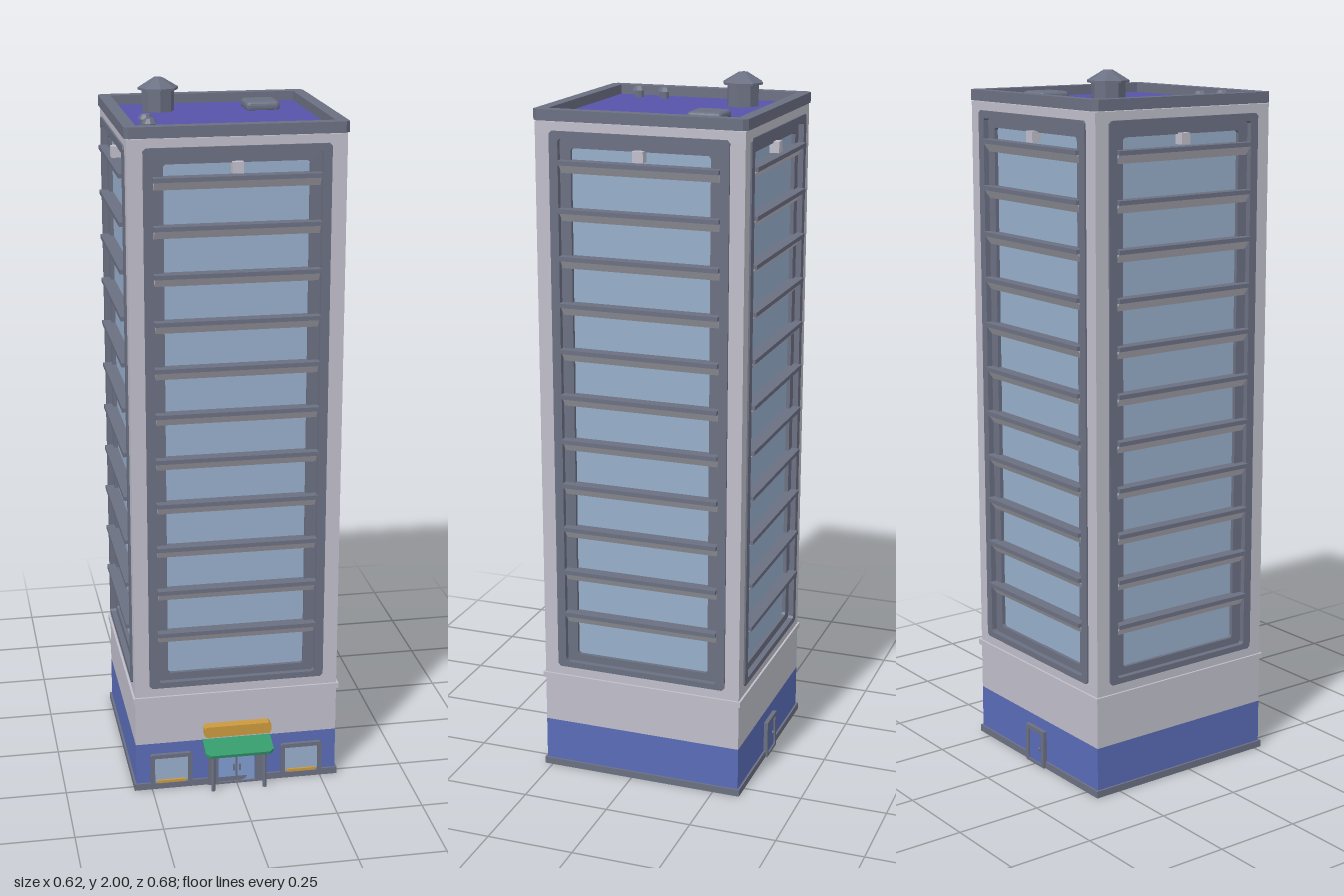
import * as THREE from 'three';
import { RoundedBoxGeometry } from 'three/addons/geometries/RoundedBoxGeometry.js';

const mat = (name, color) => new THREE.MeshStandardMaterial({ name, color, flatShading: true });

export function createModel() {
  const wall = mat('pale wall', 0xc0bfcb), trim = mat('grey trim', 0x6b7082);
  const blue = mat('blue base', 0x5a6cb8), roofMat = mat('violet roof', 0x5754aa);
  const glass = mat('window glass', 0x97aecb), green = mat('green awning', 0x35996b);
  const gold = mat('golden sign', 0xcb9a3e), doorMat = mat('door glass', 0x7f9bd0);

  const model = new THREE.Group();
  model.name = 'officeTower';
  const building = new THREE.Group();
  building.name = 'building';
  building.position.z = -0.028;
  model.add(building);

  const add = (parent, name, geo, m, x = 0, y = 0, z = 0) => {
    const mesh = new THREE.Mesh(geo, m);
    mesh.name = name;
    mesh.position.set(x, y, z);
    parent.add(mesh);
    return mesh;
  };
  // Box given by its centre x, z and its bottom and top heights
  const box = (parent, name, m, w, y0, y1, d, x = 0, z = 0) =>
    add(parent, name, new THREE.BoxGeometry(w, y1 - y0, d), m, x, (y0 + y1) / 2, z);
  // Rectangle with cut corners
  const outline = (hw, y0, y1, c, Type = THREE.Shape) => new Type([
    [-hw + c, y0], [hw - c, y0], [hw, y0 + c], [hw, y1 - c],
    [hw - c, y1], [-hw + c, y1], [-hw, y1 - c], [-hw, y0 + c],
  ].map(([x, y]) => new THREE.Vector2(x, y)));
  // Rectangular frame with an opening, from depth z0 to z1
  const frame = (parent, name, m, o, i, z0, z1, x = 0) => {
    const s = outline(...o);
    s.holes.push(outline(...i, THREE.Path));
    return add(parent, name, new THREE.ExtrudeGeometry(s, { depth: z1 - z0, bevelEnabled: false }), m, x, 0, z0);
  };

  // Main body
  box(building, 'plinth', trim, 0.604, 0, 0.02, 0.604);
  box(building, 'groundFloor', blue, 0.592, 0.02, 0.145, 0.592);
  box(building, 'lowerWall', wall, 0.592, 0.145, 0.33, 0.592);
  box(building, 'beltCourse', wall, 0.604, 0.28, 0.296, 0.604);
  box(building, 'core', trim, 0.54, 0.33, 1.87, 0.54);
  box(building, 'upperWall', wall, 0.592, 1.87, 1.902, 0.592);
  for (const x of [-1, 1]) for (const z of [-1, 1])
    box(building, 'cornerPost', wall, 0.046, 0.33, 1.87, 0.046, x * 0.273, z * 0.273);

  // Ledge cross-sections, x is depth and y is height below the ledge top
  const ledgeShape = new THREE.Shape([[0.268, -0.012], [0.31, -0.012], [0.31, 0], [0.268, 0]]
    .map((p) => new THREE.Vector2(...p)));
  const soffitShape = new THREE.Shape([[0.268, -0.036], [0.286, -0.036], [0.304, -0.012], [0.268, -0.012]]
    .map((p) => new THREE.Vector2(...p)));
  const bar = (shape, w) => new THREE.ExtrudeGeometry(shape, { depth: w, bevelEnabled: false })
    .translate(0, 0, -w / 2).rotateY(-Math.PI / 2);
  const ledgeGeo = bar(ledgeShape, 0.456), soffitGeo = bar(soffitShape, 0.45);

  // The same window wall on all four sides
  for (let i = 0; i < 4; i++) {
    const side = new THREE.Group();
    side.name = 'windowWall';
    side.rotation.y = i * Math.PI / 2;
    building.add(side);
    frame(side, 'outerFrame', trim, [0.254, 0.323, 1.878, 0.008], [0.229, 0.34, 1.857, 0.006], 0.265, 0.301);
    frame(side, 'innerFrame', trim, [0.232, 0.335, 1.86, 0.004], [0.198, 0.362, 1.832, 0.006], 0.265, 0.285);
    box(side, 'glazing', glass, 0.4, 0.355, 1.84, 0.006, 0, 0.271);
    for (let k = 0; k < 11; k++) {
      const y = 1.8 - k * 0.1303;
      add(side, 'ledge', ledgeGeo, trim, 0, y);
      add(side, 'ledgeSoffit', soffitGeo, wall, 0, y);
    }
    box(side, 'lamp', wall, 0.03, 1.805, 1.836, 0.03, 0, 0.287);
  }

  // Roof with its raised rim
  box(building, 'roofDeck', roofMat, 0.545, 1.9, 1.907, 0.545);
  frame(building, 'cornice', trim, [0.302, -0.302, 0.302, 0.012], [0.268, -0.268, 0.268, 0], 0, 0.03)
    .rotation.x = -Math.PI / 2;
  building.getObjectByName('cornice').position.set(0, 1.904, 0);

  // Rooftop equipment
  add(model, 'ventDrum', new THREE.CylinderGeometry(0.046, 0.046, 0.066, 8), trim, -0.148, 1.938, -0.173);
  add(model, 'ventCapRim', new THREE.CylinderGeometry(0.058, 0.058, 0.006, 8), trim, -0.148, 1.97, -0.173);
  add(model, 'ventCap', new THREE.CylinderGeometry(0.013, 0.058, 0.027, 8), trim, -0.148, 1.9865, -0.173);
  add(model, 'roofHatch', new RoundedBoxGeometry(0.098, 0.03, 0.098, 2, 0.012), trim, 0.146, 1.916, -0.173);
  for (const z of [0.087, 0.165]) {
    add(model, 'pipe', new THREE.CylinderGeometry(0.014, 0.014, 0.024, 8), trim, -0.22, 1.917, z);
    add(model, 'pipeCap', new THREE.CylinderGeometry(0.013, 0.021, 0.012, 8), trim, -0.22, 1.933, z);
  }

  // Shop windows
  for (const x of [-0.193, 0.193]) {
    frame(building, 'shopWindowFrame', trim, [0.061, 0.008, 0.112, 0.004], [0.049, 0.02, 0.1, 0], 0.29, 0.307, x);
    box(building, 'shopWindow', glass, 0.1, 0.018, 0.102, 0.006, x, 0.296);
    box(building, 'shopDisplay', gold, 0.084, 0.015, 0.028, 0.008, x, 0.301);
  }

  // Front entrance
  frame(building, 'entranceFrame', trim, [0.085, 0, 0.128, 0], [0.056, 0.006, 0.108, 0], 0.29, 0.307);
  for (const s of [-1, 1]) {
    box(building, 'frontDoor', doorMat, 0.05, 0.006, 0.108, 0.008, s * 0.028, 0.298);
    box(building, 'doorHandle', trim, 0.005, 0.042, 0.062, 0.01, s * 0.009, 0.304);
    add(model, 'awningPost', new THREE.CylinderGeometry(0.006, 0.006, 0.126, 8), trim, s * 0.076, 0.063, 0.312);
  }
  box(building, 'doorDivider', trim, 0.005, 0, 0.108, 0.01, 0, 0.298);

  // Sloping awning with cut front corners
  const awning = new THREE.Shape([[-0.1, 0], [0.1, 0], [0.1, -0.062], [0.088, -0.074], [-0.088, -0.074], [-0.1, -0.062]]
    .map((p) => new THREE.Vector2(...p)));
  add(model, 'awning', new THREE.ExtrudeGeometry(awning, { depth: 0.01, bevelEnabled: false }), green, 0, 0.137, 0.264)
    .rotation.x = -Math.PI / 2 + 0.28;

  // Blank sign board
  add(model, 'signBoard', new THREE.ExtrudeGeometry(outline(0.098, 0.164, 0.197, 0.006),
    { depth: 0.03, bevelEnabled: false }), gold, 0, 0, 0.266);

  // Back door
  const back = new THREE.Group();
  back.name = 'backEntrance';
  back.rotation.y = Math.PI;
  building.add(back);
  frame(back, 'backDoorFrame', trim, [0.045, 0, 0.112, 0], [0.032, 0.008, 0.1, 0], 0.29, 0.308);
  box(back, 'backDoor', blue, 0.066, 0.006, 0.102, 0.012, 0, 0.297);
  add(back, 'doorKnob', new THREE.SphereGeometry(0.005, 8, 6), trim, 0.02, 0.052, 0.305);

  return model;
}
